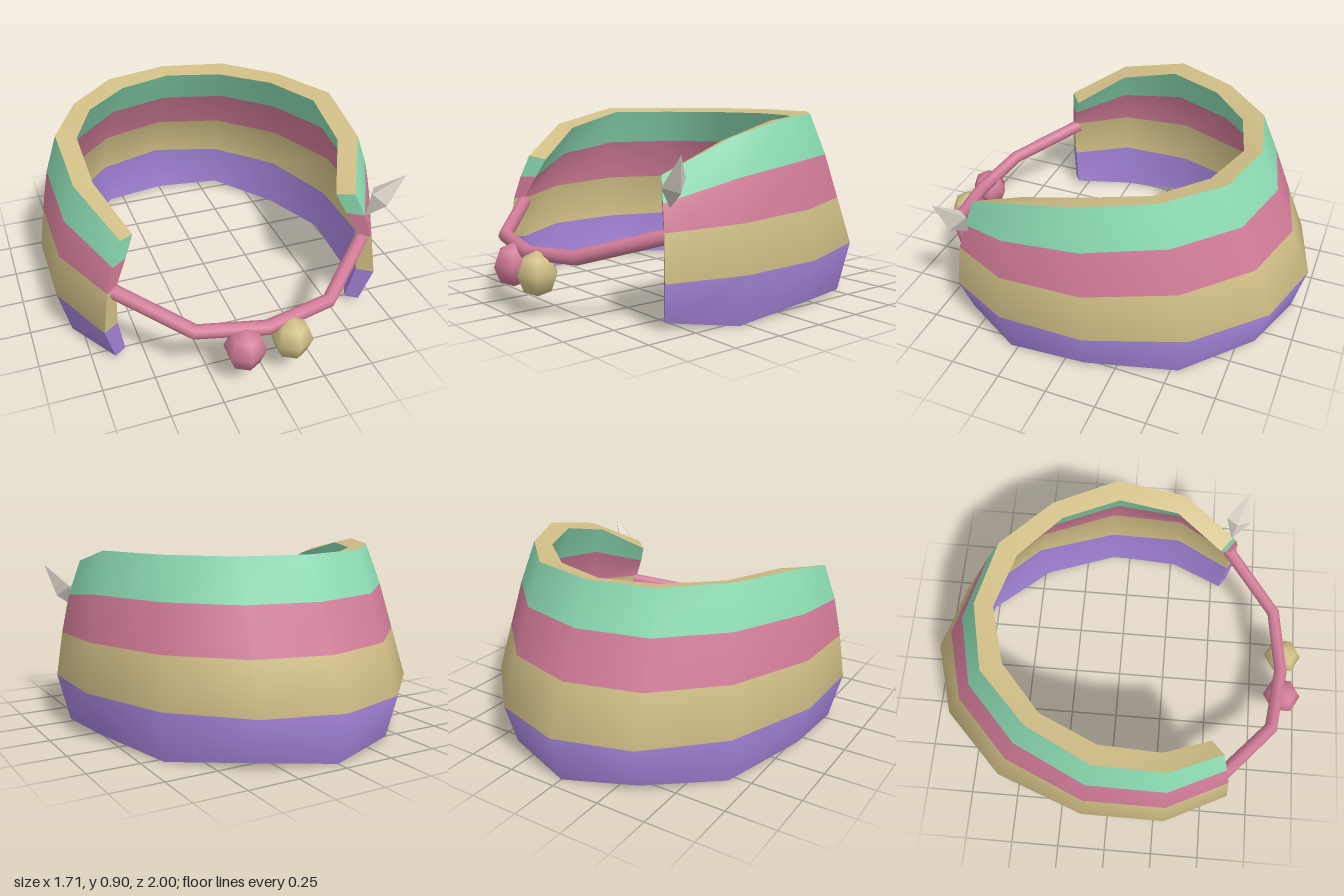
import * as THREE from 'three';
import { ConvexGeometry } from 'three/addons/geometries/ConvexGeometry.js';

const V = (x, y, z) => new THREE.Vector3(x, y, z);
const mat = (name, color) => {
  const m = new THREE.MeshStandardMaterial({ color });
  m.name = name;
  return m;
};

// Stations from the back centre to the front end:
// widest [x, z], outer rim [x, z], inner rim [x, z], blend of the two colour borders, heights
const STATIONS = [
  { wide: [0, -1], top: [0, -0.7], inner: [0, -0.61], f: [0.36, 0.69], y: [0, 0.245, 0.48, 0.7, 0.9] },
  { wide: [0.375, -0.89], top: [0.33, -0.625], inner: [0.28, -0.53], f: [0.36, 0.68], y: [0.035, 0.245, 0.48, 0.7, 0.9] },
  { wide: [0.685, -0.585], top: [0.575, -0.385], inner: [0.505, -0.33], f: [0.33, 0.64], y: [0, 0.245, 0.48, 0.7, 0.9] },
  { wide: [0.855, -0.13], top: [0.73, -0.07], inner: [0.63, -0.05], f: [0.25, 0.55], y: [0.035, 0.245, 0.48, 0.7, 0.9] },
  { wide: [0.855, 0.3], top: [0.72, 0.28], inner: [0.625, 0.25], f: [0.25, 0.55], y: [0, 0.24, 0.46, 0.65, 0.82] },
  { wide: [0.695, 0.62], top: [0.58, 0.55], inner: [0.51, 0.49], f: [0.25, 0.58], y: [0.035, 0.22, 0.43, 0.55, 0.665] },
];
const THICKNESS = [0.07, 0.09, 0.06, 0.09];

// Closed cross-section: five points up the outside, then five down the inside
function section({ wide, top, inner, f, y }, side) {
  const w = V(wide[0], 0, wide[1]), t = V(top[0], 0, top[1]), n = V(inner[0], 0, inner[1]);
  const inward = n.clone().sub(w).normalize();
  const outer = [w.clone().addScaledVector(inward, 0.06), w, w.clone().lerp(t, f[0]), w.clone().lerp(t, f[1]), t]
    .map((p, j) => p.clone().setY(y[j]));
  const inside = outer.map((p, j) => (j < 4 ? p.clone().addScaledVector(inward, THICKNESS[j]) : n.clone().setY(y[4] - 0.02)));
  return [...outer, ...inside.reverse()].map((p) => V(p.x * side, p.y, p.z));
}

// Surface through rows of points, one material per strip
function grid(name, rows, materials) {
  const n = rows[0].length, index = [];
  const geo = new THREE.BufferGeometry().setFromPoints(rows.flat());
  for (let j = 0; j < n - 1; j++) {
    const start = index.length;
    for (let i = 0; i < rows.length - 1; i++) {
      const a = i * n + j, b = a + n;
      index.push(a, b, b + 1, a, b + 1, a + 1);
    }
    geo.addGroup(start, index.length - start, j);
  }
  geo.setIndex(index);
  geo.computeVertexNormals();
  const mesh = new THREE.Mesh(geo, materials);
  mesh.name = name;
  return mesh;
}

// Straight-segmented path with mitred corners
class Polyline extends THREE.Curve {
  constructor(points) {
    super();
    this.points = points;
  }
  getPoint(t, target = new THREE.Vector3()) {
    const n = this.points.length - 1;
    const s = Math.min(t * n, n), i = Math.min(Math.floor(s), n - 1);
    return target.lerpVectors(this.points[i], this.points[i + 1], s - i);
  }
  getUtoTmapping(u) {
    return u;
  }
}

export function createModel() {
  const purple = mat('purple', 0xa080d4), sand = mat('sand', 0xd0be86);
  const pink = mat('pink', 0xd17b97), mint = mat('mint', 0x8cdcb4), bone = mat('bone', 0xdad3c8);
  const bands = [purple, sand, pink, mint];
  const model = new THREE.Group();
  model.name = 'collar';

  // Striped open band, from the left front end round the back to the right
  const rings = [
    ...STATIONS.slice().reverse().map((s) => section(s, 1)),
    ...STATIONS.slice(1).map((s) => section(s, -1)),
  ];
  const band = new THREE.Group();
  band.name = 'band';
  const cut = (a, b) => rings.map((r) => r.slice(a, b));
  band.add(
    grid('outerWall', cut(0, 5), bands),
    grid('topRim', cut(4, 6), [sand]),
    grid('innerWall', cut(5, 10), bands.slice().reverse()),
    grid('underside', rings.map((r) => [r[9], r[0]]), [purple]),
  );
  const halves = (r) => [r.slice(5).reverse(), r.slice(0, 5)];
  band.add(
    grid('leftEnd', halves(rings[0]), bands),
    grid('rightEnd', halves(rings[rings.length - 1]).reverse(), bands),
  );
  model.add(band);

  // Cord across the front opening
  const path = new Polyline([
    V(-0.64, 0.41, 0.555), V(-0.33, 0.3, 0.83), V(0, 0.272, 0.88), V(0.33, 0.3, 0.83), V(0.64, 0.41, 0.555),
  ]);
  const cord = new THREE.Mesh(new THREE.TubeGeometry(path, 4, 0.035, 8), pink);
  cord.name = 'cord';
  model.add(cord);

  // Two hanging beads
  for (const [name, x, m] of [['rightBead', -0.115, pink], ['leftBead', 0.115, sand]]) {
    const geo = new THREE.SphereGeometry(0.1, 6, 4).rotateY(Math.PI / 6).scale(1, 1.06, 1);
    const bead = new THREE.Mesh(geo, m);
    bead.name = name;
    bead.position.set(x, 0.2, 0.9);
    model.add(bead);
  }

  // Pointed tooth on the left end
  const tooth = new THREE.Mesh(new ConvexGeometry([
    V(0.8, 0.77, 0.62), V(0.645, 0.53, 0.555),
    V(0.7, 0.63, 0.645), V(0.7, 0.66, 0.515), V(0.66, 0.66, 0.57), V(0.75, 0.605, 0.58),
  ]), bone);
  tooth.name = 'tooth';
  model.add(tooth);

  return model;
}
